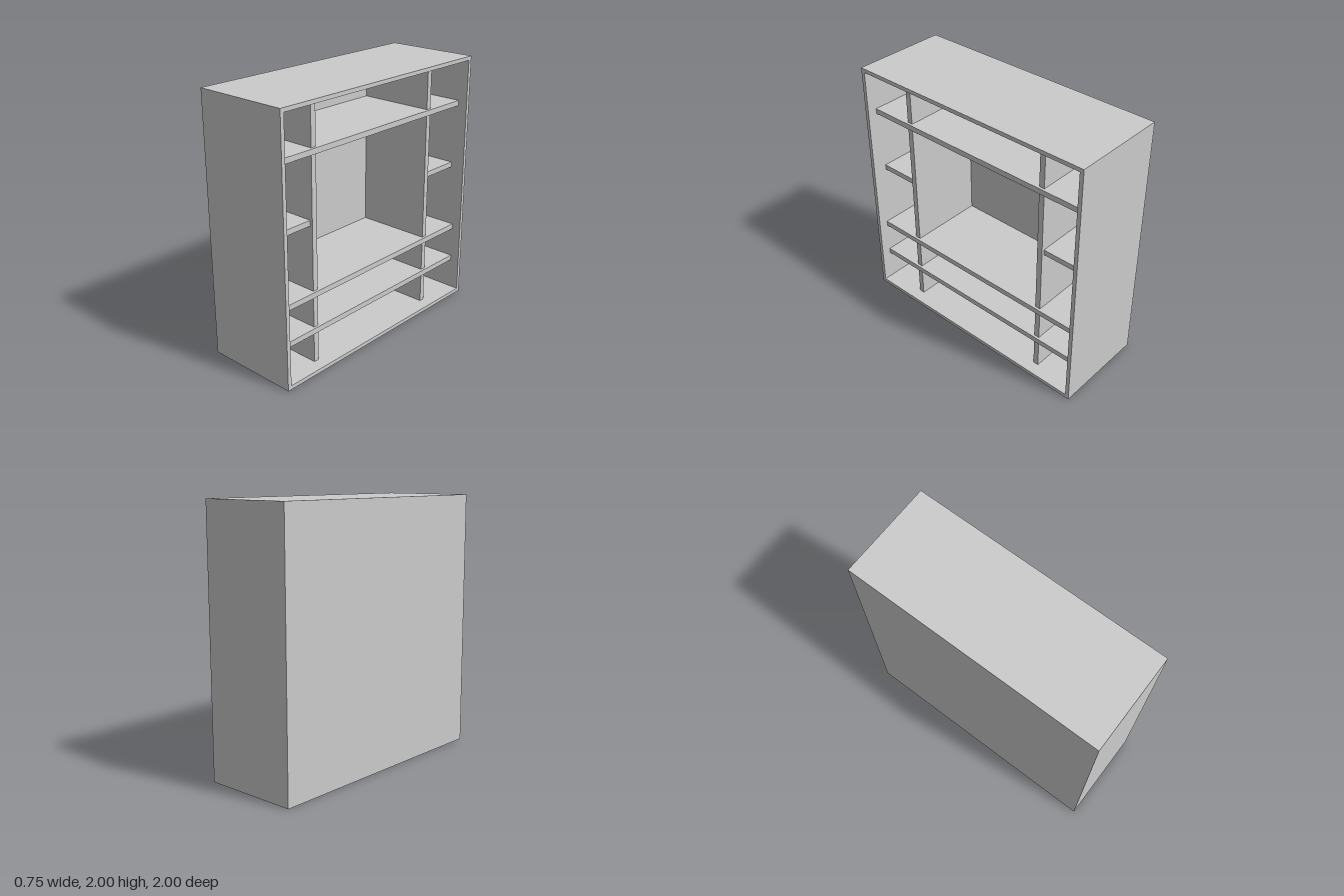
import * as THREE from 'three';

export function createModel() {
  const group = new THREE.Group();
  const material = new THREE.MeshStandardMaterial({ color: 0xcccccc, flatShading: true });

  // Box given by its limits on each axis
  const panel = (name, [x0, x1], [y0, y1], [z0, z1]) => {
    const mesh = new THREE.Mesh(new THREE.BoxGeometry(x1 - x0, y1 - y0, z1 - z0), material);
    mesh.position.set((x0 + x1) / 2, (y0 + y1) / 2, (z0 + z1) / 2);
    mesh.name = name;
    group.add(mesh);
  };

  const D = 0.375, T = 0.03, back = -0.32;
  const inner = 1 - T;

  // Outer case, open towards +x
  panel('bottomPanel', [-D, D], [0, T], [-1, 1]);
  panel('topPanel', [-D, D], [2 - T, 2], [-1, 1]);
  panel('sidePanelNear', [-D, D], [T, 2 - T], [inner, 1]);
  panel('sidePanelFar', [-D, D], [T, 2 - T], [-1, -inner]);
  panel('backPanel', [-D, back], [T, 2 - T], [-inner, inner]);

  // Full-width shelves, set back from the opening
  const shelves = [[0.273, 0.315], [0.557, 0.599], [1.603, 1.645]];
  shelves.forEach((y) => panel('longShelf', [back, D - 0.075], y, [-inner, inner]));

  // Upright dividers, split by the long shelves
  const uprights = [[0.603, 0.646], [-0.633, -0.59]];
  const levels = [T, ...shelves.flat(), 2 - T];
  for (const z of uprights) {
    for (let i = 0; i < levels.length; i += 2) {
      panel('divider', [back, D - 0.095], [levels[i], levels[i + 1]], z);
    }
  }

  // Short shelves in the side bays
  panel('shortShelfNear', [back, D - 0.115], [1.087, 1.129], [0.646, inner]);
  panel('shortShelfFar', [back, D - 0.115], [1.087, 1.129], [-inner, -0.633]);

  return group;
}
